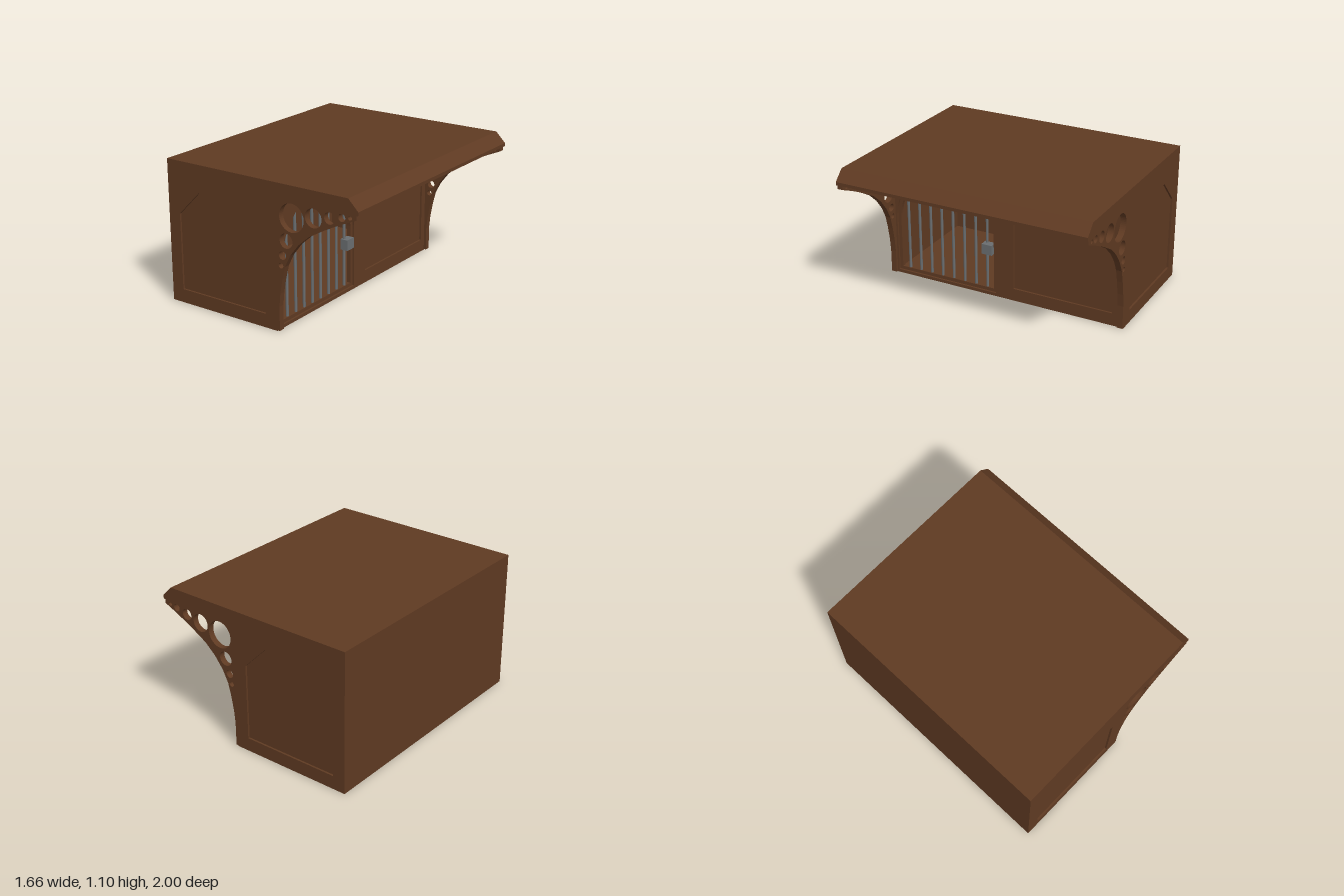
import * as THREE from 'three';

const HALF = 1, BACK = -0.83, FRONT = 0.15, CEIL = 0.985;
const WALL = 0.045, RECESS = 0.015;

const poly = (points, Type = THREE.Shape) => new Type(points.map(([x, y]) => new THREE.Vector2(x, y)));

// Rectangle with its two upper corners cut off
const panelOutline = (x0, x1, y0, y1, cut) => poly([
  [x0, y0], [x1, y0], [x1, y1 - cut], [x1 - cut, y1], [x0 + cut, y1], [x0, y1 - cut],
], THREE.Path);

// Doorway with a round top
function archOutline(cx, y0, springY, r) {
  const p = new THREE.Path();
  p.moveTo(cx - r, y0);
  p.lineTo(cx + r, y0);
  p.lineTo(cx + r, springY);
  p.absarc(cx, springY, r, 0, Math.PI, false);
  p.lineTo(cx - r, y0);
  return p;
}

const rect = (x0, x1, y0, y1) => poly([[x0, y0], [x1, y0], [x1, y1], [x0, y1]]);

function slab(shape, depth, holes = []) {
  shape.holes.push(...holes);
  return new THREE.ExtrudeGeometry(shape, { depth, bevelEnabled: false, curveSegments: 24 });
}

export function createModel() {
  const model = new THREE.Group();
  model.name = 'kennel';
  const wood = new THREE.MeshStandardMaterial({ color: 0x5f3a22 });
  wood.name = 'brown wood';
  const metal = new THREE.MeshStandardMaterial({ color: 0x6a6e70 });
  metal.name = 'grey metal';

  const add = (name, geometry, material, x = 0, y = 0, z = 0) => {
    const mesh = new THREE.Mesh(geometry, material);
    mesh.name = name;
    mesh.position.set(x, y, z);
    model.add(mesh);
    return mesh;
  };
  const box = (name, material, x0, x1, y0, y1, z0, z1) => add(name,
    new THREE.BoxGeometry(x1 - x0, y1 - y0, z1 - z0), material,
    (x0 + x1) / 2, (y0 + y1) / 2, (z0 + z1) / 2);

  // Roof with chamfered overhang
  add('roof', slab(poly([
    [BACK, CEIL], [0.82, CEIL], [0.83, 0.99], [0.83, 1.015], [0.75, 1.095], [BACK, 1.095],
  ]), 2 * HALF), wood, 0, 0, -HALF);

  // Floor and rear wall
  const inner = HALF - WALL;
  box('floor', wood, BACK + WALL, FRONT, 0, 0.02, -inner, inner);
  box('rearWall', wood, BACK, BACK + WALL, 0, CEIL, -inner, inner);

  // End walls with recessed panels, and pierced brackets under the overhang
  const circles = [
    [0.285, 0.865, 0.104], [0.468, 0.9, 0.069], [0.6, 0.927, 0.043], [0.7, 0.951, 0.028],
    [0.765, 0.961, 0.015], [0.237, 0.69, 0.055], [0.205, 0.578, 0.031], [0.19, 0.5, 0.02],
  ];
  const bracketEdge = [
    [FRONT, 0.005], [0.17, 0.005], [0.17, 0.19], [0.18, 0.29], [0.2, 0.4], [0.225, 0.5],
    [0.27, 0.59], [0.34, 0.68], [0.43, 0.76], [0.56, 0.835], [0.7, 0.905], [0.815, 0.955],
    [0.815, CEIL], [FRONT, CEIL],
  ];
  for (const side of [1, -1]) {
    const place = (outer, depth) => (side > 0 ? outer - depth : -outer);
    const label = side > 0 ? 'front' : 'back';
    add(label + 'EndWallFace', slab(rect(BACK, FRONT, 0, CEIL), RECESS,
      [panelOutline(-0.73, 0.05, 0.105, 0.885, 0.19)]), wood, 0, 0, place(HALF, RECESS));
    add(label + 'EndWallCore', slab(rect(BACK, FRONT, 0, CEIL), WALL - RECESS),
      wood, 0, 0, place(HALF - RECESS, WALL - RECESS));
    const holes = circles.map(([x, y, r]) => new THREE.Path().absarc(x, y, r, 0, Math.PI * 2, false));
    add(label + 'Bracket', slab(poly(bracketEdge), WALL, holes), wood, 0, 0, place(HALF, WALL));
  }

  // Door wall: outer layer with panel recess, inner layer forming the door frame
  const doorZ = 0.5, springY = 0.483;
  const wallLayer = (name, x, depth, holes) => {
    add(name, slab(rect(-inner, inner, 0.02, CEIL), depth, holes), wood, x).rotation.y = Math.PI / 2;
  };
  wallLayer('doorWallFace', FRONT - RECESS, RECESS, [
    archOutline(-doorZ, 0.025, springY, 0.44),
    panelOutline(0.09, 0.905, 0.1, 0.9, 0.205),
  ]);
  wallLayer('doorWallCore', FRONT - WALL, WALL - RECESS, [
    archOutline(-doorZ, 0.052, springY, 0.413),
  ]);

  // Door bars reaching up to the arch
  for (let i = 0; i < 8; i++) {
    const z = 0.15 + i * 0.1;
    const top = springY + Math.sqrt(0.416 ** 2 - (z - doorZ) ** 2);
    add('doorBar', new THREE.CylinderGeometry(0.011, 0.011, top - 0.05, 8),
      metal, 0.121, (top + 0.05) / 2, z);
  }
  box('doorLock', metal, 0.105, 0.168, 0.345, 0.427, 0.088, 0.175);

  return model;
}
